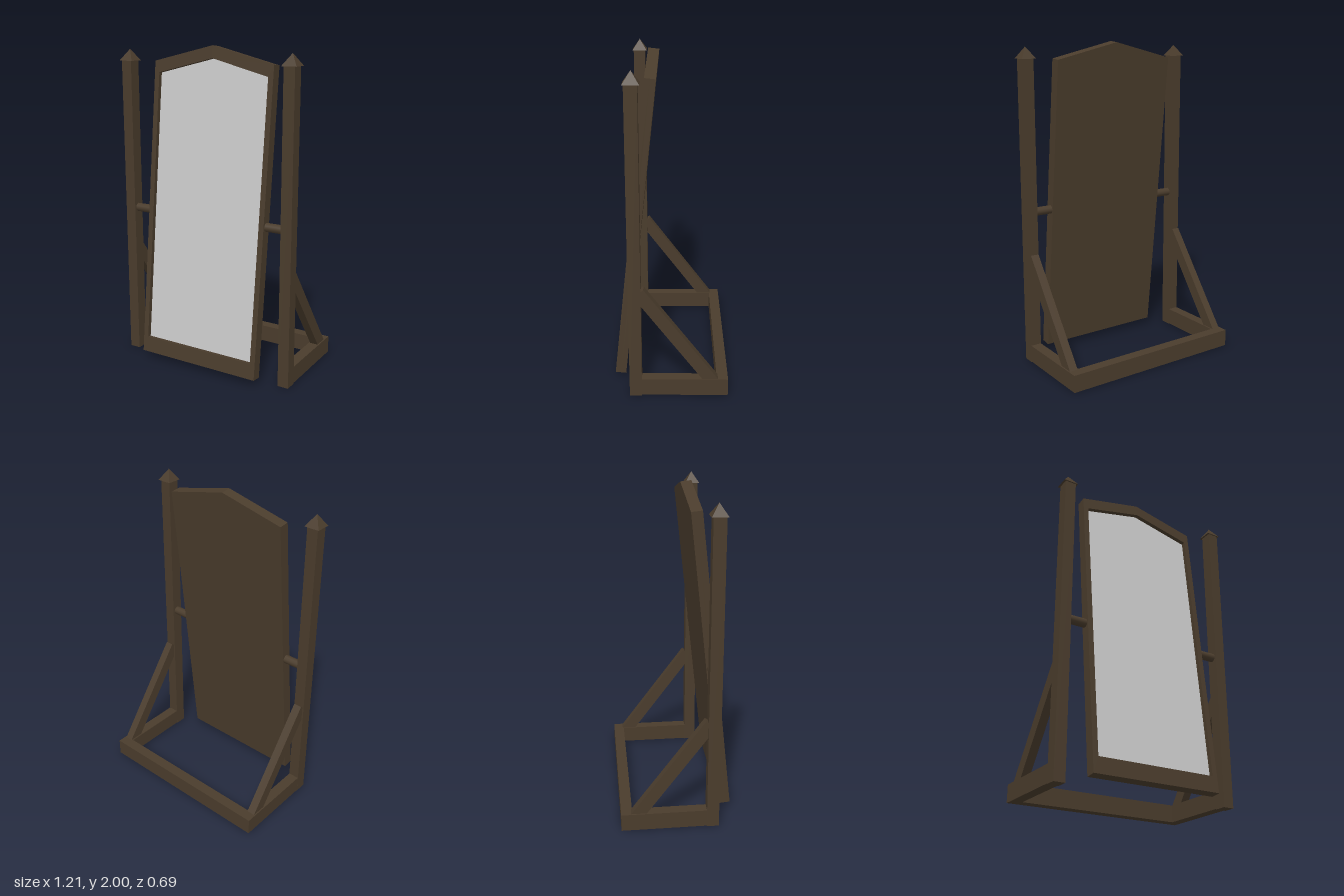
import * as THREE from 'three';

const POST_X = 0.558, POST_Z = 0.212, PIVOT_Y = 0.97;

// House-shaped outline: straight sides with a shallow peak on top
function gable(halfW, bottom, shoulder, apex, Type = THREE.Shape) {
  return new Type([
    [-halfW, bottom], [halfW, bottom], [halfW, shoulder], [0, apex], [-halfW, shoulder],
  ].map(([x, y]) => new THREE.Vector2(x, y)));
}

function slab(shape, z, depth) {
  const geo = new THREE.ExtrudeGeometry(shape, { depth, bevelEnabled: false });
  return geo.translate(0, 0, z);
}

export function createModel() {
  const wood = new THREE.MeshStandardMaterial({ color: 0x4a3c2c });
  wood.name = 'darkWood';
  const glass = new THREE.MeshStandardMaterial({ color: 0xcacaca });
  glass.name = 'mirrorGlass';

  const model = new THREE.Group();
  model.name = 'standingMirror';
  const add = (parent, name, geo, mat, x = 0, y = 0, z = 0) => {
    const mesh = new THREE.Mesh(geo, mat);
    mesh.name = name;
    mesh.position.set(x, y, z);
    parent.add(mesh);
    return mesh;
  };

  // Side supports, mirrored left and right
  for (const [side, s] of [['left', 1], ['right', -1]]) {
    const support = new THREE.Group();
    support.name = side + 'Support';
    model.add(support);
    const x = s * POST_X;

    add(support, 'post', new THREE.BoxGeometry(0.07, 1.905, 0.074), wood, x, 0.9525, POST_Z);

    // Pyramid cap
    const cap = new THREE.ConeGeometry(0.094 / Math.SQRT2, 0.07, 4).rotateY(Math.PI / 4).toNonIndexed();
    cap.computeVertexNormals();
    add(support, 'postCap', cap, wood, x, 1.935, POST_Z - 0.002);

    // Foot rail running back from the post
    add(support, 'footRail', new THREE.BoxGeometry(0.068, 0.108, 0.53), wood, x, 0.058, -0.08);

    // Diagonal brace; its ends are buried in post and rail
    const top = new THREE.Vector2(0.19, 0.687), low = new THREE.Vector2(-0.262, 0.078);
    const dz = top.x - low.x, dy = top.y - low.y;
    const brace = add(support, 'brace', new THREE.BoxGeometry(0.052, Math.hypot(dz, dy), 0.076), wood,
      x, (top.y + low.y) / 2, (top.x + low.x) / 2);
    brace.rotation.x = Math.atan2(dz, dy);

    // Pivot pin between post and frame
    const pin = new THREE.CylinderGeometry(0.027, 0.027, 0.15, 12).rotateZ(Math.PI / 2);
    add(support, 'pivotPin', pin, wood, s * 0.467, PIVOT_Y, POST_Z);
  }

  // Rear cross bar
  add(model, 'rearBar', new THREE.BoxGeometry(1.06, 0.108, 0.068), wood, 0, 0.058, -0.311);

  // Tilted mirror: back board, raised rim and glass
  const mirror = new THREE.Group();
  mirror.name = 'tiltingMirror';
  mirror.position.set(0, PIVOT_Y, POST_Z + 0.002);
  mirror.rotation.x = -0.108;
  model.add(mirror);

  add(mirror, 'backBoard', slab(gable(0.412, -0.932, 0.932, 1.032), -0.033, 0.033), wood);
  const rim = gable(0.412, -0.932, 0.932, 1.032);
  rim.holes.push(gable(0.379, -0.834, 0.862, 0.957, THREE.Path));
  add(mirror, 'rim', slab(rim, 0, 0.033), wood);
  add(mirror, 'glass', slab(gable(0.379, -0.834, 0.862, 0.957), 0.001, 0.006), glass);

  return model;
}
